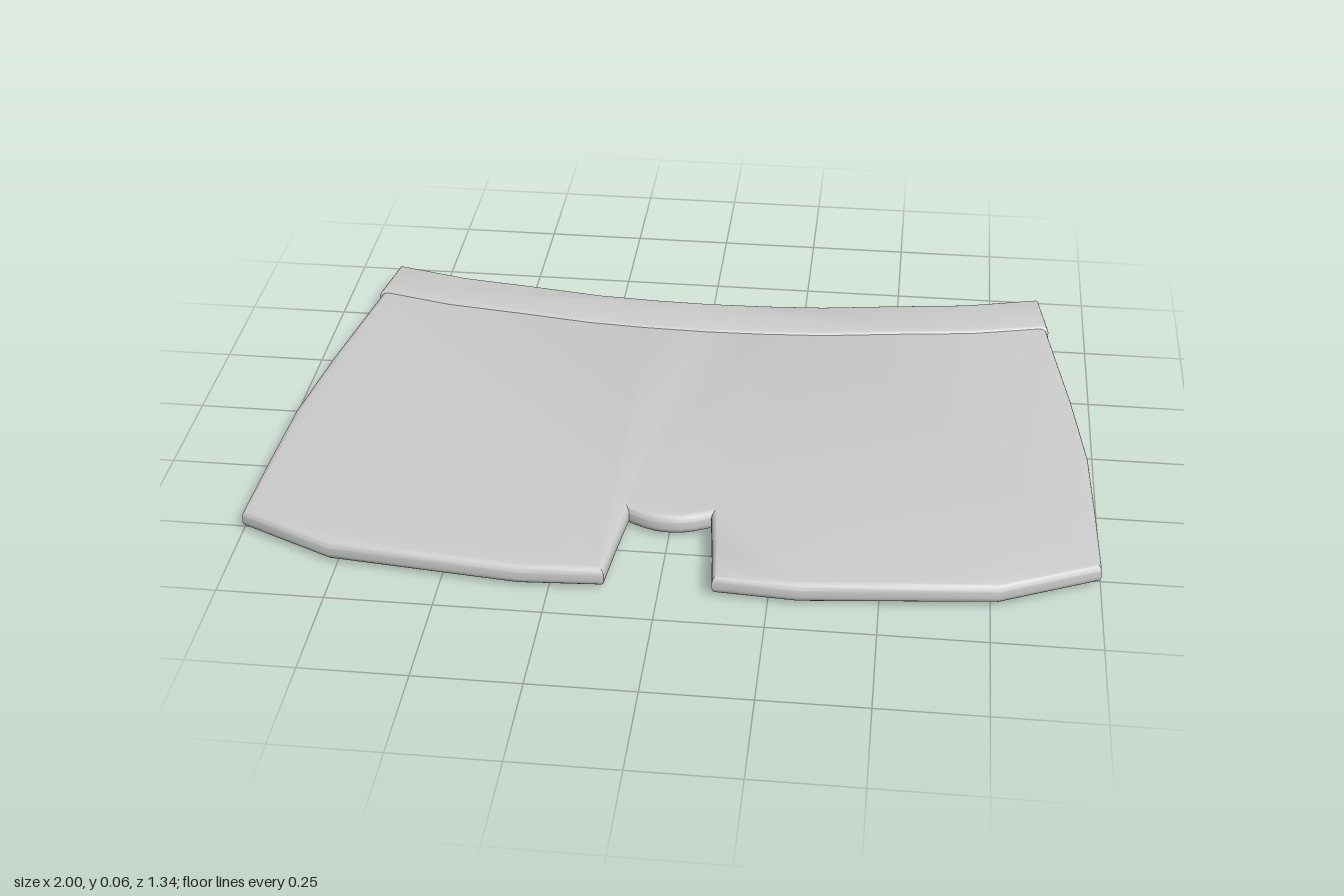
import * as THREE from 'three';
import { toCreasedNormals } from 'three/addons/utils/BufferGeometryUtils.js';

const material = new THREE.MeshStandardMaterial({ color: 0xcccccc });

// Mirrors a half outline of [x, z] points that runs from one centre line crossing to the other
function mirrored(half) {
  const other = half.filter(([x]) => x !== 0).reverse().map(([x, z]) => [-x, z]);
  return [...half, ...other];
}

// Flat slab with rounded rims, lying between y0 and y1
function slab(name, half, y0, y1, radius) {
  const shape = new THREE.Shape(mirrored(half).map(([x, z]) => new THREE.Vector2(x, -z)));
  const geometry = new THREE.ExtrudeGeometry(shape, {
    depth: y1 - y0 - 2 * radius,
    bevelThickness: radius,
    bevelSize: radius,
    bevelOffset: -radius,
    bevelSegments: 5,
  });
  geometry.rotateX(-Math.PI / 2);
  geometry.translate(0, y0 + radius, 0);
  const mesh = new THREE.Mesh(toCreasedNormals(geometry, 0.6), material);
  mesh.name = name;
  return mesh;
}

export function createModel() {
  const group = new THREE.Group();
  group.name = 'shortsPanel';

  // Curved waist line from the centre to the +x corner
  const waist = [[0, -0.557], [0.15, -0.561], [0.3, -0.571], [0.49, -0.599], [0.68, -0.624], [0.877, -0.673]];
  const shifted = (dz, scale = 1) => waist.map(([x, z]) => [x * scale, z + dz]);

  // Body with two legs and a notch between them
  const body = [
    ...shifted(0.05, 0.99),
    [0.897, -0.52], [0.95, -0.19], [0.984, 0.07], [0.993, 0.29], [1, 0.515],
    [0.77, 0.62], [0.54, 0.643], [0.32, 0.665], [0.123, 0.653],
    [0.112, 0.54], [0.097, 0.407], [0.06, 0.426], [0.03, 0.435], [0, 0.437],
  ];
  group.add(slab('body', body, 0.006, 0.056, 0.018));

  // Slightly thicker waistband along the back edge
  const band = [...shifted(0), ...shifted(0.152, 1.028).reverse()];
  group.add(slab('waistband', band, 0, 0.062, 0.018));

  return group;
}
